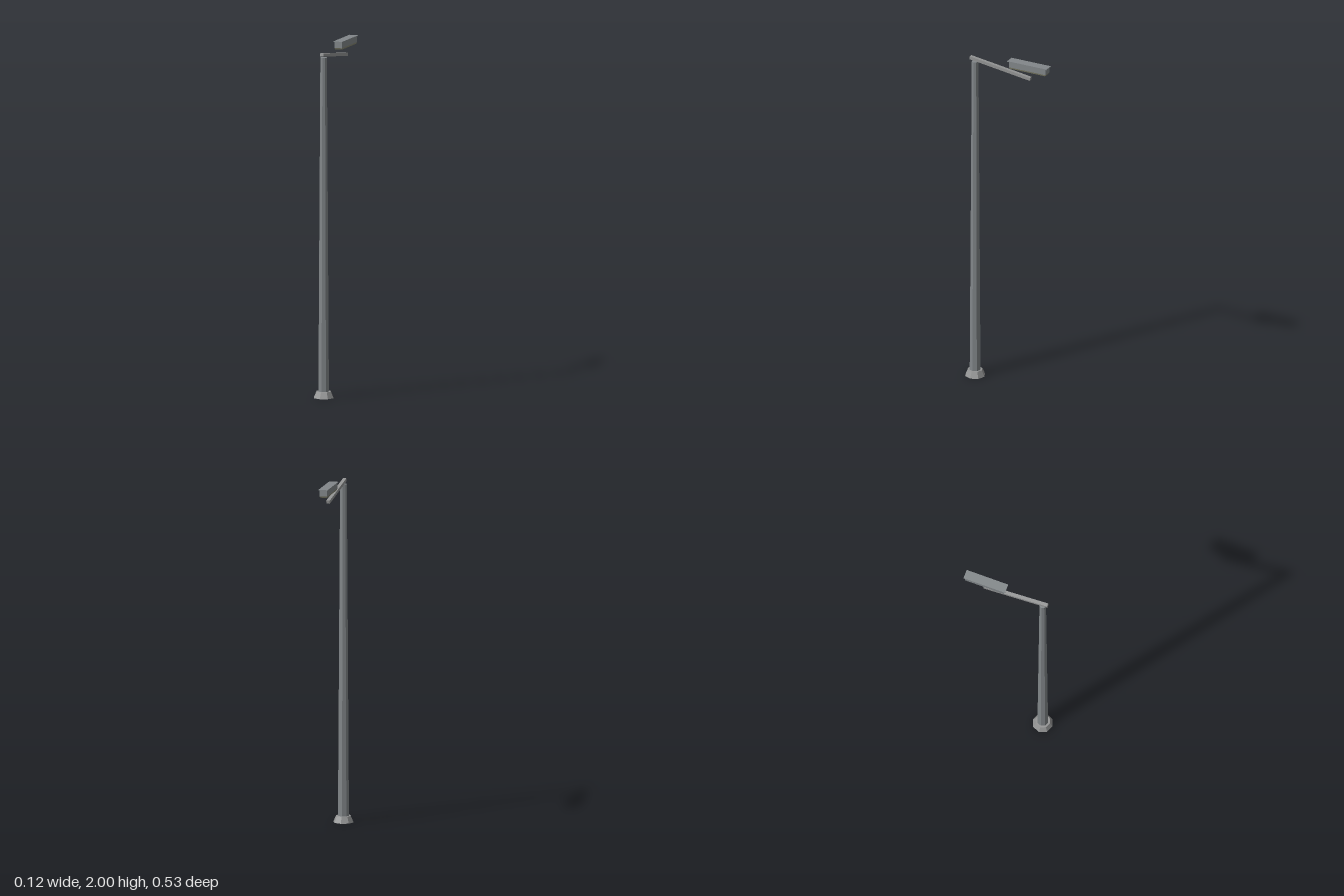
import * as THREE from 'three';

export function createModel() {
  const root = new THREE.Group();
  const paint = (color) => new THREE.MeshStandardMaterial({ color, flatShading: true });
  const steel = paint(0x939494);
  const coated = paint(0x82878a);
  const glass = paint(0x8c8c74);

  const add = (name, geometry, material, x, y, z, parent = root) => {
    const mesh = new THREE.Mesh(geometry, material);
    mesh.name = name;
    mesh.position.set(x, y, z);
    parent.add(mesh);
    return mesh;
  };

  const poleZ = 0.203;
  const baseH = 0.037;
  const poleTop = 1.943;

  // Octagonal foot and tapered octagonal pole
  add('base', new THREE.CylinderGeometry(0.043, 0.059, baseH, 8), steel, 0, baseH / 2, poleZ);
  add('pole', new THREE.CylinderGeometry(0.02, 0.032, poleTop - baseH, 8), coated, 0, (poleTop + baseH) / 2, poleZ);

  // Square arm sloping down towards the back
  const front = new THREE.Vector3(0, 1.962, 0.233);
  const back = new THREE.Vector3(0, 1.908, -0.15);
  const arm = add('arm', new THREE.BoxGeometry(0.02, 0.018, front.distanceTo(back)), steel, 0, 0, 0);
  arm.position.copy(front).add(back).multiplyScalar(0.5);
  arm.rotation.x = -Math.atan2(front.y - back.y, front.z - back.z);

  // Lamp head: overhanging lid, box body and a tapered lens below
  const head = new THREE.Group();
  head.name = 'lampHead';
  head.position.set(0, 2, -0.14);
  root.add(head);
  add('lid', new THREE.BoxGeometry(0.053, 0.004, 0.25), coated, 0, -0.002, 0, head);
  add('body', new THREE.BoxGeometry(0.045, 0.034, 0.234), coated, 0, -0.021, 0, head);

  const lens = new THREE.BoxGeometry(0.045, 0.009, 0.234);
  const p = lens.attributes.position;
  for (let i = 0; i < p.count; i++) {
    if (p.getY(i) < 0) p.setXYZ(i, p.getX(i) * 0.85, p.getY(i), p.getZ(i) * 0.96);
  }
  lens.computeVertexNormals();
  add('lens', lens, glass, 0, -0.0425, 0, head);

  return root;
}
